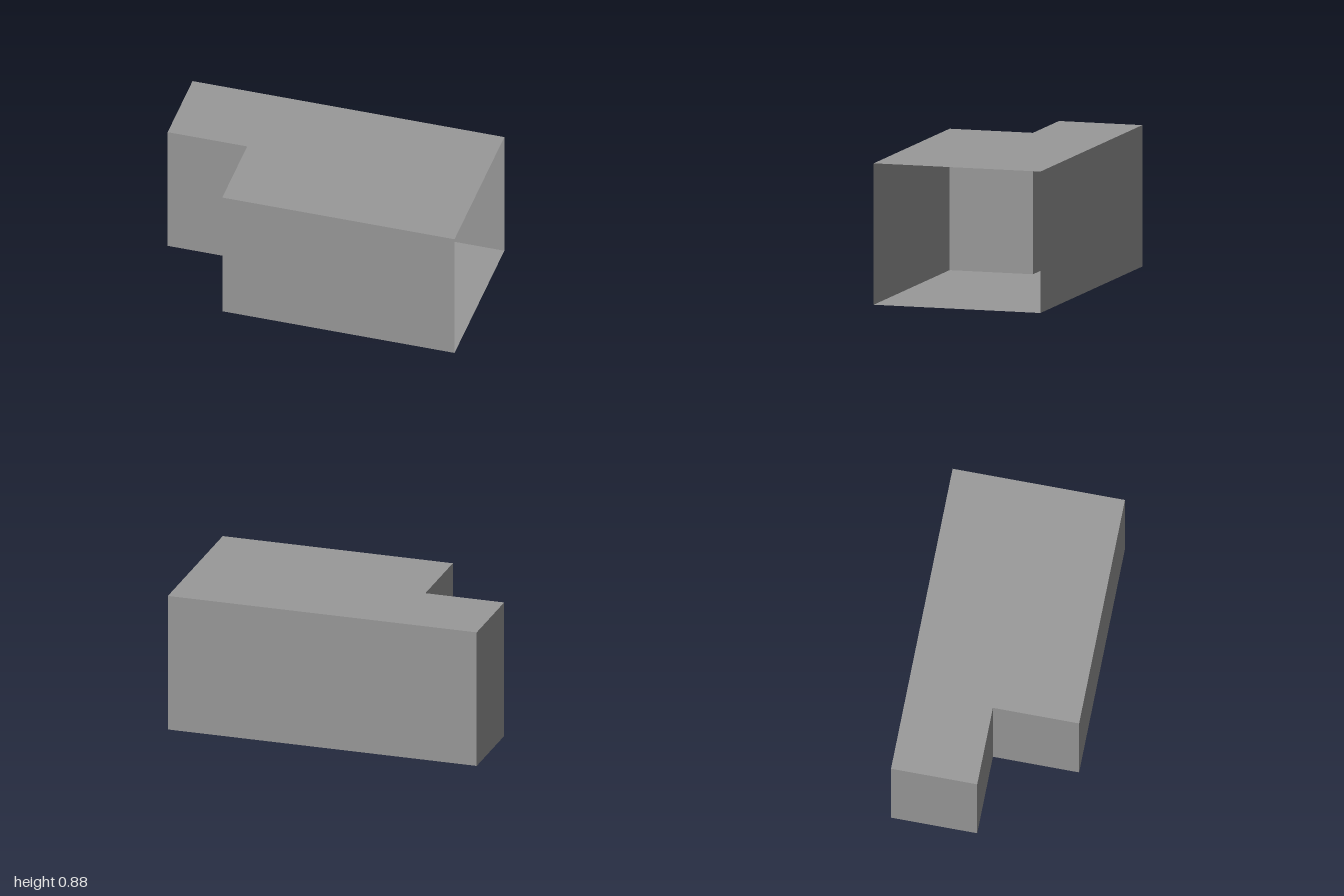
import * as THREE from 'three';

const HEIGHT = 0.88;

// Plan outline as [x, z]; the end between the last and first point stays open
const OUTLINE = [
  [1, -0.54], [-1, -0.54], [-1, 0], [-0.49, 0], [-0.49, 0.54], [1, 0.54],
];
const WALL_NAMES = ['backWall', 'endWall', 'notchFrontWall', 'notchSideWall', 'frontWall'];

export function createModel() {
  const group = new THREE.Group();
  group.name = 'openEndedShell';
  const grey = new THREE.MeshStandardMaterial({ color: 0x999999, side: THREE.DoubleSide });
  grey.name = 'grey';

  // Flat slab following the outline: facing = 1 looks up, -1 looks down
  function addSlab(name, y, facing) {
    const shape = new THREE.Shape(OUTLINE.map(([x, z]) => new THREE.Vector2(x, -facing * z)));
    const geometry = new THREE.ShapeGeometry(shape);
    geometry.rotateX(-facing * Math.PI / 2);
    const slab = new THREE.Mesh(geometry, grey);
    slab.name = name;
    slab.position.y = y;
    group.add(slab);
  }
  addSlab('floor', 0, -1);
  addSlab('roof', HEIGHT, 1);

  // Upright walls, each facing outward
  WALL_NAMES.forEach((name, i) => {
    const [x0, z0] = OUTLINE[i];
    const [x1, z1] = OUTLINE[i + 1];
    const dx = x1 - x0;
    const dz = z1 - z0;
    const wall = new THREE.Mesh(new THREE.PlaneGeometry(Math.hypot(dx, dz), HEIGHT), grey);
    wall.name = name;
    wall.position.set((x0 + x1) / 2, HEIGHT / 2, (z0 + z1) / 2);
    wall.rotation.y = Math.atan2(-dz, dx);
    group.add(wall);
  });

  return group;
}
